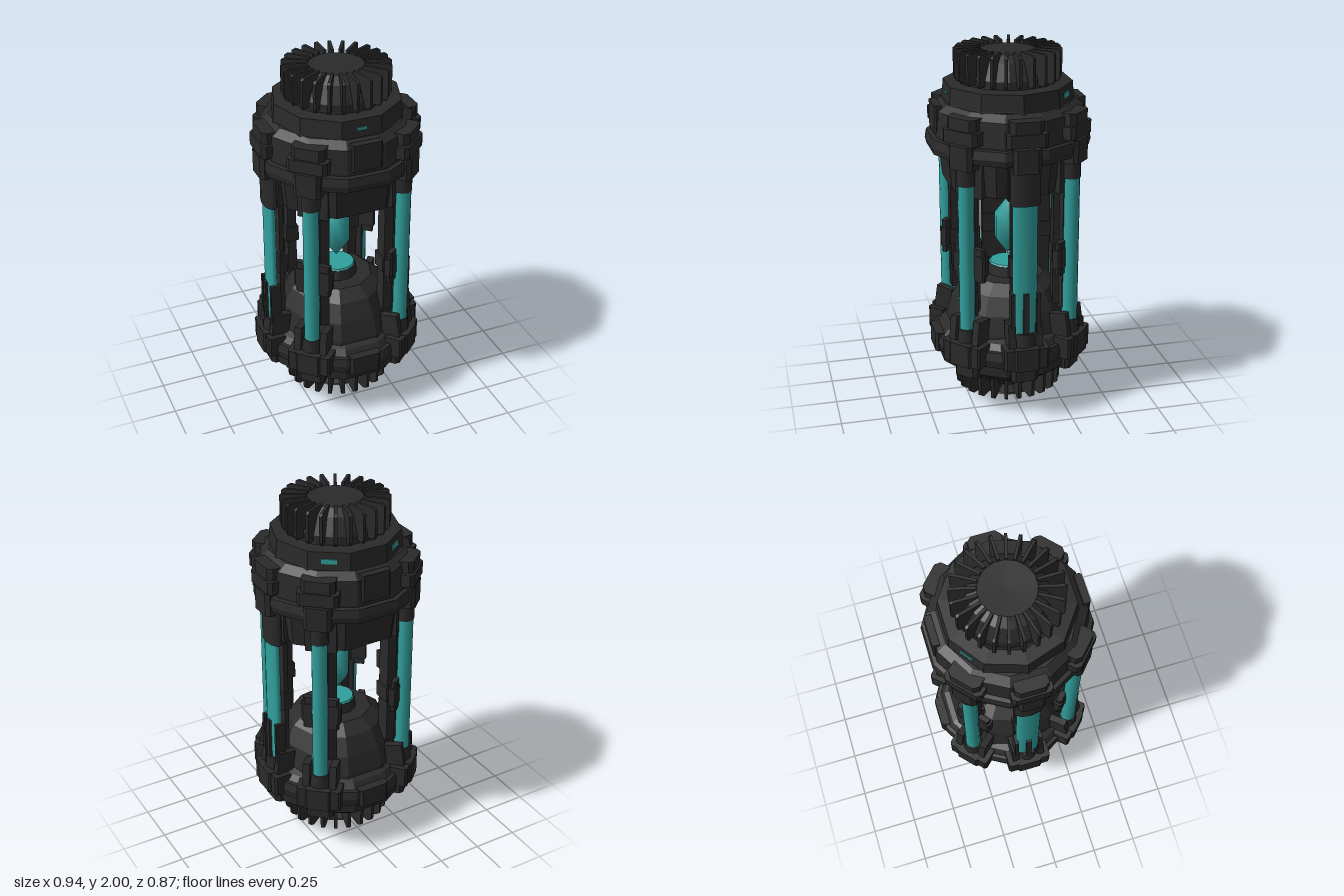
import * as THREE from 'three';

const dark = new THREE.MeshStandardMaterial({ color: 0x2a2a2a });
dark.name = 'darkMetal';
const teal = new THREE.MeshStandardMaterial({ color: 0x31a09d });
teal.name = 'tealGlow';

function add(parent, name, geo, mat, x = 0, y = 0, z = 0) {
  const m = new THREE.Mesh(geo, mat);
  m.name = name;
  m.position.set(x, y, z);
  parent.add(m);
  return m;
}

// Solid of revolution, profile listed from bottom to top, a flat side to the front
const turned = (points, sides) =>
  new THREE.LatheGeometry(points.map(p => new THREE.Vector2(p[0], p[1])), sides, Math.PI / sides);

function faceted(points, sides) {
  const geo = turned(points, sides).toNonIndexed();
  geo.computeVertexNormals();
  return geo;
}

const box = (w, h, d) => new THREE.BoxGeometry(w, h, d);

// Block with chamfered outer edges, outward along +z
function chamferBlock(w, h, d, c) {
  const s = new THREE.Shape();
  s.moveTo(-w / 2, -d / 2);
  s.lineTo(w / 2, -d / 2);
  s.lineTo(w / 2, d / 2 - c);
  s.lineTo(w / 2 - c, d / 2);
  s.lineTo(-w / 2 + c, d / 2);
  s.lineTo(-w / 2, d / 2 - c);
  const geo = new THREE.ExtrudeGeometry(s, { depth: h, bevelEnabled: false });
  geo.translate(0, 0, -h / 2);
  geo.rotateX(Math.PI / 2);
  return geo;
}

// Radial fins; profile is (radius, y)
function fins(parent, name, count, profile, thickness) {
  const s = new THREE.Shape(profile.map(p => new THREE.Vector2(p[0], p[1])));
  const geo = new THREE.ExtrudeGeometry(s, { depth: thickness, bevelEnabled: false });
  geo.translate(0, 0, -thickness / 2);
  for (let i = 0; i < count; i++) {
    add(parent, name, geo, dark).rotation.y = (i / count) * Math.PI * 2;
  }
}

// One tube station with its clamp and brackets; local +z points outward
function station(angle, isSide) {
  const g = new THREE.Group();
  g.name = 'tubeStation';
  g.rotation.y = angle;
  const top = isSide ? 1.245 : 1.335;
  const bottom = 0.51;

  // Glowing tube: round on the diagonals, wide and flat at the sides
  const tube = add(g, 'glowTube', new THREE.CylinderGeometry(0.043, 0.043, top - bottom, 12), teal, 0, (top + bottom) / 2, 0.393);
  if (isSide) tube.scale.set(1.6, 1, 0.65);

  // Backing strip and clamp
  add(g, 'tubeBacking', box(isSide ? 0.14 : 0.07, 0.85, 0.025), dark, 0, 1.0, 0.35);
  if (isSide) {
    add(g, 'rodClamp', chamferBlock(0.15, 0.11, 0.06, 0.015), dark, 0, 0.885, 0.35);
  } else {
    add(g, 'rodClamp', chamferBlock(0.215, 0.11, 0.045, 0.012), dark, 0, 0.885, 0.36);
    add(g, 'clampPad', chamferBlock(0.195, 0.19, 0.03, 0.01), dark, 0, 0.885, 0.362);
  }

  // Sockets
  const cap = add(g, 'upperSocket', new THREE.CylinderGeometry(0.05, 0.05, 1.47 - top, 10), dark, 0, (1.47 + top) / 2, 0.39);
  if (isSide) cap.scale.set(1.7, 1, 0.8);
  add(g, 'upperSocketBack', box(0.17, 0.19, 0.07), dark, 0, 1.355, 0.33);
  add(g, 'lowerSocket', new THREE.CylinderGeometry(0.05, 0.06, 0.11, 10), dark, 0, 0.46, 0.393);

  // Upper brackets
  add(g, 'upperBlock', chamferBlock(0.18, 0.13, 0.1, 0.025), dark, 0, 1.64, 0.395);
  add(g, 'upperBlockFoot', chamferBlock(0.22, 0.07, 0.08, 0.02), dark, 0, 1.605, 0.415);
  add(g, 'upperRingClamp', chamferBlock(0.15, 0.13, 0.08, 0.02), dark, 0, 1.495, 0.415);

  // Lower brackets
  add(g, 'lowerBlock', chamferBlock(0.25, 0.12, 0.1, 0.012), dark, 0, 0.375, 0.41);
  add(g, 'lowerBlockFace', chamferBlock(0.14, 0.13, 0.04, 0.01), dark, 0, 0.375, 0.452);
  add(g, 'lowerBlockFoot', chamferBlock(0.15, 0.12, 0.08, 0.02), dark, 0, 0.285, 0.385);
  for (const s of [-1, 1]) {
    const cheek = add(g, 'lowerCheek', box(0.04, 0.15, 0.1), dark, s * 0.075, 0.49, 0.375);
    cheek.rotation.x = -0.15;
    if (isSide) add(g, 'tubeGuard', box(0.02, 0.28, 0.06), dark, s * 0.07, 0.61, 0.395);
  }
  if (isSide) add(g, 'tubeSpike', box(0.03, 0.32, 0.03), dark, 0, 0.59, 0.42);
  return g;
}

export function createModel() {
  const root = new THREE.Group();
  root.name = 'energyCoreCylinder';

  // Upper housing
  add(root, 'upperDrum', faceted([[0, 1.25], [0.3, 1.25], [0.365, 1.27], [0.385, 1.45]], 8), dark);
  add(root, 'upperNozzle', faceted([[0, 1.21], [0.1, 1.21], [0.115, 1.255]], 12), dark);
  add(root, 'upperBody', faceted([[0.34, 1.43], [0.41, 1.46], [0.42, 1.56], [0.41, 1.69], [0.36, 1.725], [0, 1.725]], 12), dark);
  add(root, 'upperRing', faceted([[0.38, 1.455], [0.442, 1.465], [0.45, 1.5], [0.442, 1.545], [0.38, 1.555]], 12), dark);
  add(root, 'topCap', faceted([[0.36, 1.71], [0.355, 1.73], [0.348, 1.82], [0.27, 1.825], [0.24, 1.80], [0, 1.80]], 10), dark);
  add(root, 'topCore', faceted([[0.24, 1.8], [0.24, 1.86], [0.2, 1.95], [0.15, 1.985], [0, 1.98]], 16), dark);
  fins(root, 'topFin', 24, [[0.13, 1.83], [0.28, 1.83], [0.29, 1.85], [0.29, 1.99], [0.275, 2], [0.15, 2]], 0.016);

  // Lower housing
  add(root, 'lowerDome', faceted([[0.36, 0.4], [0.35, 0.46], [0.32, 0.56], [0.27, 0.66], [0.2, 0.715], [0, 0.72]], 10), dark);
  add(root, 'lowerBody', faceted([[0, 0.19], [0.34, 0.19], [0.375, 0.22], [0.405, 0.24], [0.41, 0.31], [0.41, 0.39], [0.38, 0.43], [0.3, 0.46]], 12), dark);
  add(root, 'lowerRing', faceted([[0.38, 0.3], [0.425, 0.305], [0.435, 0.35], [0.425, 0.395], [0.38, 0.4]], 12), dark);
  add(root, 'bottomCore', faceted([[0, 0.07], [0.14, 0.07], [0.2, 0.09], [0.25, 0.15], [0.27, 0.2]], 16), dark);
  fins(root, 'bottomFin', 24, [[0.12, 0.06], [0.27, 0.035], [0.3, 0.055], [0.305, 0.18], [0.29, 0.21], [0.16, 0.21]], 0.018);
  add(root, 'foot', faceted([[0, 0], [0.155, 0], [0.15, 0.008], [0.06, 0.035], [0.035, 0.08]], 12), dark);

  // Front and back plates between the tube stations
  for (const a of [0, Math.PI]) {
    const g = new THREE.Group();
    g.name = 'facePlates';
    g.rotation.y = a;
    add(g, 'upperPlate', chamferBlock(0.17, 0.15, 0.04, 0.01), dark, 0, 1.645, 0.395);
    add(g, 'lowerPlate', chamferBlock(0.18, 0.11, 0.05, 0.015), dark, 0, 0.35, 0.41);
    root.add(g);
  }

  // Pedestal and floating crystal
  add(root, 'pedestal', faceted([[0.12, 0.7], [0.108, 0.773], [0, 0.773]], 12), dark);
  add(root, 'pedestalGlow', faceted([[0.106, 0.773], [0.1, 0.782], [0, 0.782]], 12), teal);
  add(root, 'crystal', turned([[0, 0.82], [0.074, 0.92], [0.074, 1.06], [0, 1.16]], 8), teal);

  // Six tube stations, with a support rod inside each diagonal one
  const diagonal = THREE.MathUtils.degToRad(42.5);
  for (const s of [-1, 1]) {
    root.add(station(s * Math.PI / 2, true));
    root.add(station(s * diagonal, false));
    root.add(station(s * (Math.PI - diagonal), false));
    for (const f of [-1, 1]) {
      add(root, 'supportRod', box(0.052, 0.85, 0.085), dark, s * 0.187, 1.0, f * 0.247);
      add(root, 'rodCollar', box(0.075, 0.09, 0.1), dark, s * 0.187, 0.885, f * 0.247);
    }
  }

  // Small glowing marks on the top cap
  for (const [a, w, h] of [[0, 0.05, 0.015], [Math.PI * 0.8, 0.08, 0.026], [-Math.PI * 0.8, 0.08, 0.026]]) {
    const g = new THREE.Group();
    g.name = 'capMark';
    g.rotation.y = a;
    add(g, 'capGlow', box(w, h, 0.008), teal, 0, 1.77, 0.334);
    root.add(g);
  }
  return root;
}
